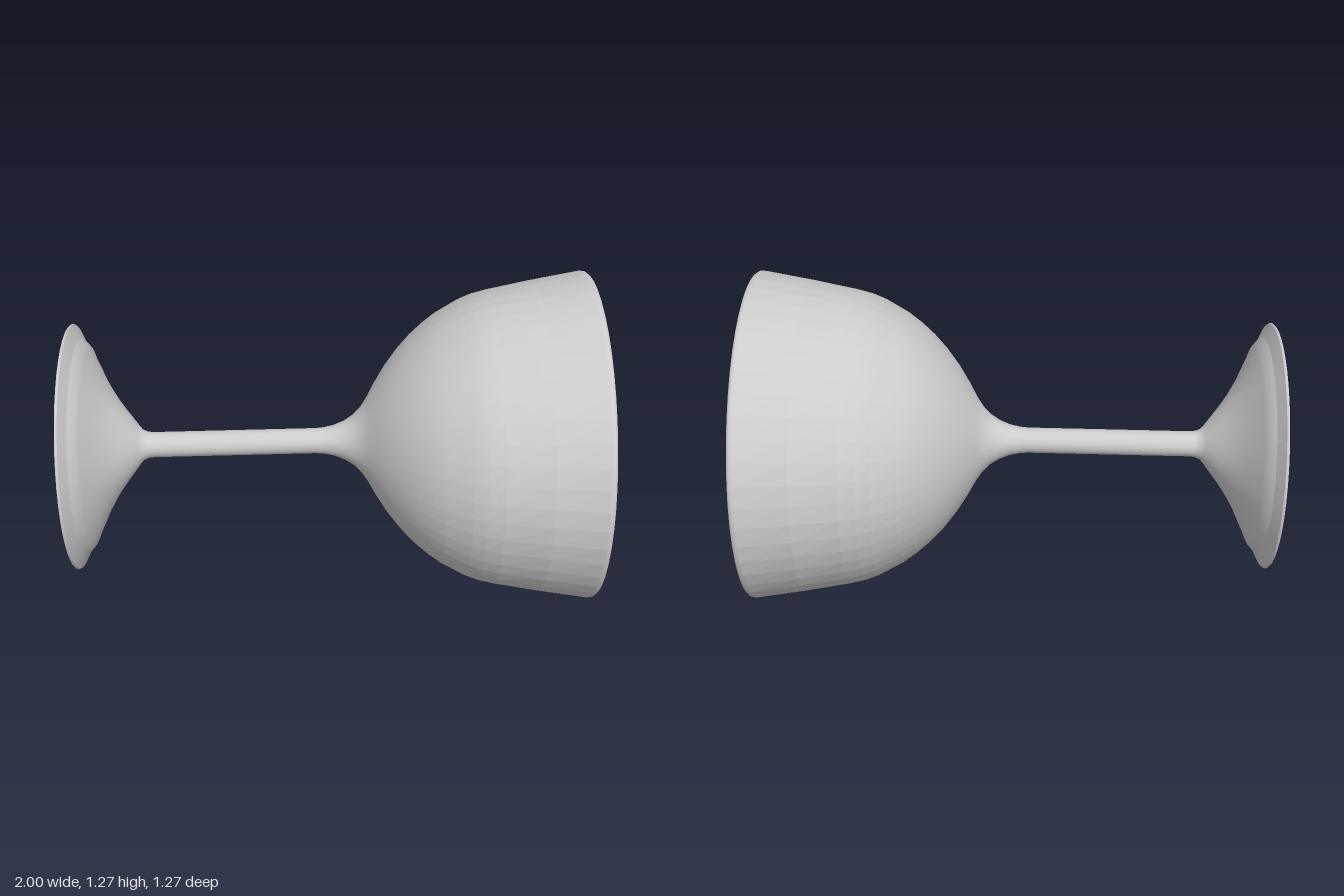
import * as THREE from 'three';

const SIDES = 48;

// Turned surface from [radius, height] pairs
function turn(profile) {
  return new THREE.LatheGeometry(profile.map(([r, h]) => new THREE.Vector2(r, h)), SIDES);
}

// Smooth along the profile, faceted around the axis
function facetAround(source) {
  const g = source.toNonIndexed();
  const p = g.attributes.position, n = g.attributes.normal;
  for (let i = 0; i < p.count; i += 3) {
    let x = 0, z = 0;
    for (let k = i; k < i + 3; k++) {
      const r = Math.hypot(p.getX(k), p.getZ(k)) || 1;
      x += p.getX(k) / r;
      z += p.getZ(k) / r;
    }
    const mid = Math.atan2(x, z);
    for (let k = i; k < i + 3; k++) {
      const a = Math.atan2(p.getX(k), p.getZ(k));
      const out = n.getX(k) * Math.sin(a) + n.getZ(k) * Math.cos(a);
      // the facets fade out toward the narrow base of the bowl
      const t = THREE.MathUtils.smoothstep(p.getY(k), 1.15, 1.5);
      const turnBy = Math.atan2(Math.sin(mid - a), Math.cos(mid - a));
      const b = a + turnBy * t;
      n.setXYZ(k, out * Math.sin(b), n.getY(k), out * Math.cos(b));
    }
  }
  return g;
}

export function createModel() {
  const model = new THREE.Group();
  model.name = 'goblet';
  const grey = new THREE.MeshStandardMaterial({ color: 0xcccccc });
  grey.name = 'plain grey';

  const add = (name, geometry) => {
    const mesh = new THREE.Mesh(geometry, grey);
    mesh.name = name;
    model.add(mesh);
  };

  // Foot: hollowed underside, thin edge, sloping lip and flared cone
  add('footHollow', turn([[0, 0.06], [0.225, 0.06]]));
  add('footHollowWall', turn([[0.225, 0.06], [0.305, 0]]));
  add('footUnderside', turn([[0.305, 0], [0.472, 0]]));
  add('footEdge', turn([[0.472, 0], [0.476, 0.004], [0.472, 0.01]]));
  add('footLip', turn([[0.472, 0.01], [0.42, 0.036]]));
  add('footCone', turn([
    [0.42, 0.036], [0.393, 0.06], [0.365, 0.071], [0.315, 0.095], [0.265, 0.118], [0.22, 0.143],
    [0.18, 0.168], [0.143, 0.195], [0.108, 0.222], [0.075, 0.247], [0.06, 0.26], [0.052, 0.278],
  ]));

  // Stem
  add('stem', turn([[0.052, 0.278], [0.049, 0.3], [0.049, 0.93], [0.052, 0.962]]));

  // Outside of the bowl
  add('bowlOutside', facetAround(turn([
    [0.052, 0.962], [0.06, 1.0], [0.076, 1.04], [0.098, 1.075], [0.128, 1.105], [0.165, 1.13],
    [0.22, 1.16], [0.284, 1.2], [0.35, 1.25], [0.404, 1.3], [0.448, 1.35], [0.485, 1.4],
    [0.535, 1.49], [0.555, 1.54], [0.57, 1.6], [0.602, 1.77], [0.633, 1.957],
  ])));

  // Rounded rim
  add('rim', turn([
    [0.633, 1.957], [0.633, 1.968], [0.627, 1.976], [0.617, 1.979], [0.606, 1.976], [0.6, 1.965],
  ]));

  // Inside of the bowl
  add('bowlInside', facetAround(turn([
    [0.6, 1.965], [0.568, 1.77], [0.536, 1.6], [0.522, 1.55], [0.502, 1.5], [0.455, 1.42],
    [0.418, 1.37], [0.374, 1.32], [0.322, 1.27], [0.255, 1.22], [0.19, 1.18], [0.14, 1.158],
    [0.095, 1.145],
  ])));
  add('bowlFloor', turn([[0.095, 1.145], [0, 1.145]]));

  // Lay it on its side, resting on the rim with a slight tilt
  model.rotation.z = -Math.PI / 2 + 0.0165;
  model.position.set(-0.992, 0.605, 0);
  const root = new THREE.Group();
  root.name = 'lyingGoblet';
  root.add(model);
  return root;
}
